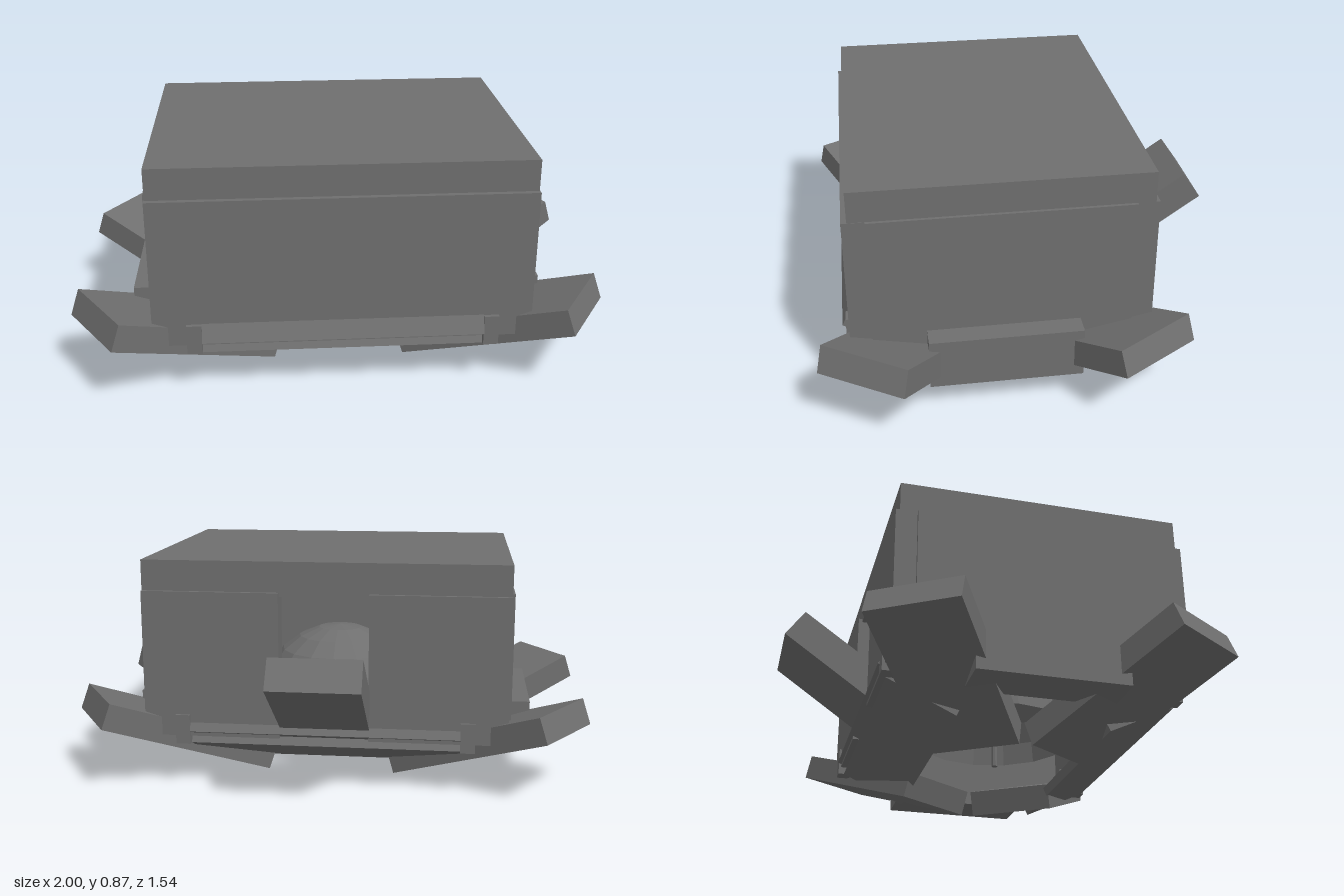
import * as THREE from 'three';

export function createModel() {
  const model = new THREE.Group();
  const mat = new THREE.MeshStandardMaterial({ color: 0x6f6f6f, flatShading: true });
  const openMat = mat.clone();
  openMat.side = THREE.DoubleSide;

  const add = (name, geo, material = mat) => {
    const mesh = new THREE.Mesh(geo, material);
    mesh.name = name;
    model.add(mesh);
    return mesh;
  };

  // Axis-aligned box given by its limits
  const box = (name, x0, x1, y0, y1, z0, z1) => {
    const m = add(name, new THREE.BoxGeometry(x1 - x0, y1 - y0, z1 - z0));
    m.position.set((x0 + x1) / 2, (y0 + y1) / 2, (z0 + z1) / 2);
  };

  // Board rising outwards from the middle of its lower inner edge
  const slab = (name, len, thick, width, inner, heading, tilt) => {
    const geo = new THREE.BoxGeometry(len, thick, width).translate(len / 2, thick / 2, 0);
    const m = add(name, geo);
    m.position.set(...inner);
    m.rotation.set(0, -THREE.MathUtils.degToRad(heading), THREE.MathUtils.degToRad(tilt));
  };

  // Roof and walls around a space open below
  box('roof', -0.685, 0.685, 0.74, 0.87, -0.43, 0.635);
  box('frontWall', -0.687, 0.687, 0.2, 0.755, 0.575, 0.655);
  for (const s of [-1, 1]) {
    const span = (a, b) => (s > 0 ? [a, b] : [-b, -a]);
    box('sideWall', ...span(0.61, 0.697), 0.2, 0.755, -0.365, 0.575);
    box('backWall', ...span(0.168, 0.685), 0.2, 0.755, -0.445, -0.365);
    box('sideStep', ...span(0.6, 0.777), 0.11, 0.3, -0.175, 0.382);
    // Brackets at the skirt ends
    box('frontBracket', ...span(0.51, 0.565), 0.17, 0.283, 0.56, 0.67);
    box('backBracket', ...span(0.51, 0.565), 0.17, 0.283, -0.455, -0.35);
  }

  // Centre post carrying a hollow dome
  const post = add('centrePost', new THREE.CylinderGeometry(0.012, 0.012, 0.46, 8));
  post.position.set(0, 0.3, 0.105);
  const dome = add('dome',
    new THREE.SphereGeometry(0.34, 16, 6, 0, Math.PI * 2, 0, Math.PI / 2), openMat);
  dome.position.set(0, 0.2, 0.105);

  // Sloping skirts, front and back
  for (const s of [1, -1]) {
    const z = (v) => (s > 0 ? v : 0.225 - v);
    slab('skirtLip', 0.15, 0.072, 1.02, [0, 0.157, z(0.549)], 90 * s, 25);
    slab('skirtPlate', 0.283, 0.035, 1.02, [0, 0.05, z(0.4)], 90 * s, 25);
  }

  // Open flap at the back doorway
  slab('backFlap', 0.5, 0.126, 0.337, [-0.003, 0.183, -0.361], -90, 35);

  // Four splayed legs
  for (const sx of [1, -1]) {
    for (const sz of [1, -1]) {
      const heading = sz * (sx > 0 ? 32 : 148);
      slab(sz > 0 ? 'frontLeg' : 'backLeg', 0.715, 0.102, 0.342,
        [sx * 0.34, 0, 0.102 + sz * 0.17], heading, 20.3);
    }
  }

  return model;
}
